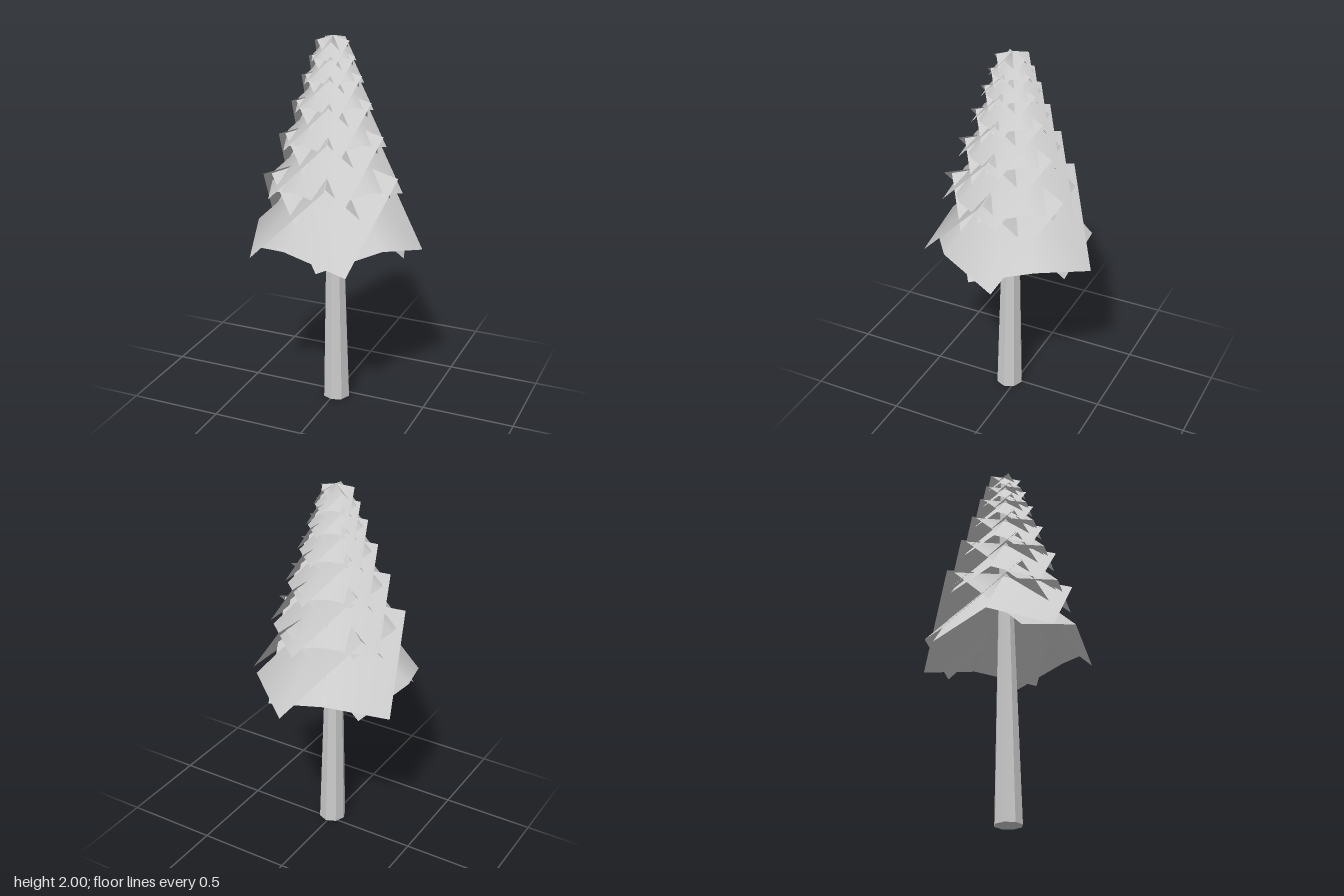
import * as THREE from 'three';

const material = new THREE.MeshStandardMaterial({ color: 0xcccccc, side: THREE.DoubleSide });

// One drooping branch: a sheet folded along its middle rib.
// Rows run across the sheet, each with an upper and a lower point.
function branchGeometry() {
  const rows = [
    [[0.124, -0.905, -0.34], [0.462, -1.315, -0.101]],
    [[0, -0.82, 0], [0.36, -1.225, 0.216]],
    [[-0.265, -0.905, 0.179], [0.08, -1.315, 0.409]],
  ];
  const geometry = new THREE.BufferGeometry();
  geometry.setAttribute('position', new THREE.Float32BufferAttribute(rows.flat(2), 3));
  const index = [];
  for (let i = 0; i < rows.length - 1; i++) {
    const a = i * 2;
    index.push(a, a + 2, a + 1, a + 1, a + 2, a + 3);
  }
  geometry.setIndex(index);
  geometry.computeVertexNormals();
  return geometry;
}

// Leaning, tapered eight-sided trunk
function makeTrunk() {
  const height = 1.97;
  const geometry = new THREE.CylinderGeometry(0.022, 0.074, height, 8, 1).toNonIndexed();
  geometry.translate(0, height / 2, 0);
  const p = geometry.attributes.position;
  for (let i = 0; i < p.count; i++) {
    const t = p.getY(i) / height;
    p.setX(i, p.getX(i) + 0.008 - 0.022 * t);
    p.setZ(i, p.getZ(i) + 0.04 - 0.01 * t);
  }
  geometry.computeVertexNormals();
  const trunk = new THREE.Mesh(geometry, new THREE.MeshStandardMaterial({ color: 0xcccccc, flatShading: true }));
  trunk.name = 'trunk';
  return trunk;
}

export function createModel() {
  const tree = new THREE.Group();
  tree.name = 'pineTree';
  tree.add(makeTrunk());

  // Tiers of five overlapping branches, shrinking toward the top
  const branch = branchGeometry();
  const scales = [1, 0.77, 0.585, 0.44, 0.335, 0.25];
  scales.forEach((scale, level) => {
    const tier = new THREE.Group();
    tier.name = `foliageTier${level + 1}`;
    tier.position.set(-0.015, 2.205, 0.03);
    tier.scale.setScalar(scale);
    for (let i = 0; i < 5; i++) {
      const mesh = new THREE.Mesh(branch, material);
      mesh.name = 'branch';
      mesh.rotation.y = (i * Math.PI * 2) / 5;
      tier.add(mesh);
    }
    tree.add(tier);
  });
  return tree;
}
